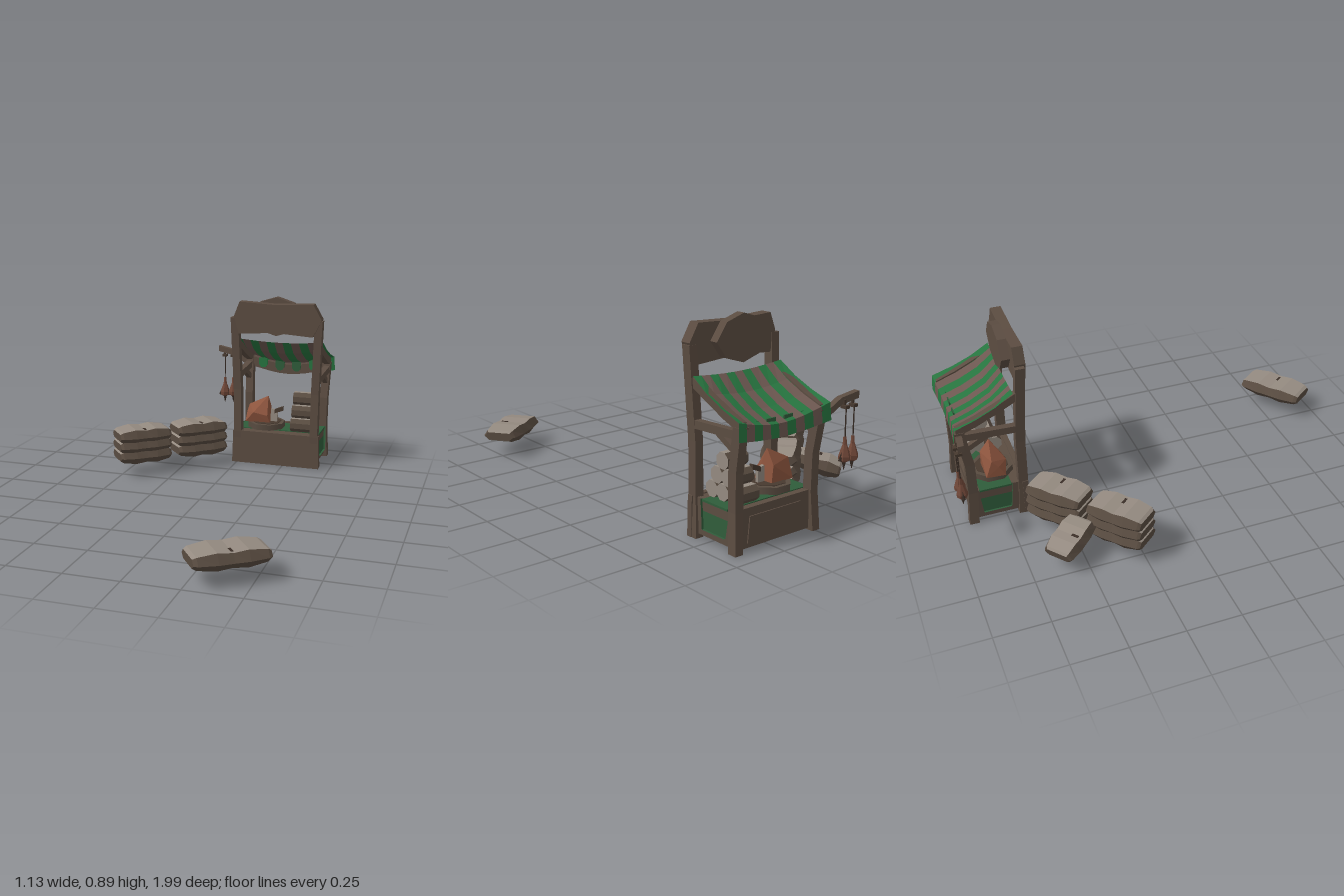
import * as THREE from 'three';
import { ConvexGeometry } from 'three/addons/geometries/ConvexGeometry.js';

const V = (x, y, z) => new THREE.Vector3(x, y, z);
const mat = (name, color, extra = {}) =>
  Object.assign(new THREE.MeshStandardMaterial({ color, ...extra }), { name });
const CX = 0.209; // middle of the stall

// Closed loft through rings; bucket(j) picks a material slot (j = -1 for end caps)
function loft(rings, bucket = () => 0) {
  const lists = [[], []];
  const n = rings[0].length;
  const tri = (slot, ...p) => p.forEach((v) => lists[slot].push(v.x, v.y, v.z));
  for (let i = 0; i + 1 < rings.length; i++) {
    for (let j = 0; j < n; j++) {
      const k = (j + 1) % n, a = rings[i], b = rings[i + 1];
      tri(bucket(j), a[j], a[k], b[k]);
      tri(bucket(j), a[j], b[k], b[j]);
    }
  }
  const s = rings[0], e = rings[rings.length - 1];
  for (let k = 1; k + 1 < n; k++) {
    tri(bucket(-1), s[0], s[k + 1], s[k]);
    tri(bucket(-1), e[0], e[k], e[k + 1]);
  }
  const g = new THREE.BufferGeometry();
  g.setAttribute('position', new THREE.Float32BufferAttribute([...lists[0], ...lists[1]], 3));
  g.addGroup(0, lists[0].length / 3, 0);
  if (lists[1].length) g.addGroup(lists[0].length / 3, lists[1].length / 3, 1);
  g.computeVertexNormals();
  return g;
}

// Bent timber: points along the middle, half-width vectors a and b
function beam(pts, a, b) {
  const dir = pts[pts.length - 1].clone().sub(pts[0]);
  if (a.clone().cross(b).dot(dir) < 0) b = b.clone().negate();
  return loft(pts.map((p) => [[1, -1], [1, 1], [-1, 1], [-1, -1]].map(([s, t]) =>
    p.clone().addScaledVector(a, s).addScaledVector(b, t))));
}

// Flat board from an outline, from z0 forward by depth
function board(outline, z0, depth) {
  const g = new THREE.ExtrudeGeometry(
    new THREE.Shape(outline.map(([x, y]) => new THREE.Vector2(x, y))), { depth, bevelEnabled: false });
  return g.translate(0, 0, z0);
}

// Sack with two lobes and a pinched middle; top and bottom use the second slot
function sackGeometry(L, W, H) {
  const stations = [[-0.5, 0.8, 0.5], [-0.45, 0.9, 0.72], [-0.2, 1, 1], [0, 1, 0.82],
    [0.2, 1, 1], [0.45, 0.9, 0.72], [0.5, 0.8, 0.5]];
  const section = [[0.5, -0.38], [0.5, 0.38], [-0.05, 0.5], [-0.5, 0.36], [-0.5, -0.36], [-0.05, -0.5]];
  return loft(stations.map(([x, w, h]) => section.map(([y, z]) => V(x * L, y * h * H, z * w * W))),
    (j) => (j === 0 || j === 3 ? 1 : 0));
}

export function createModel() {
  const wood = mat('wood', 0x5b4c41);
  const darkWood = mat('dark wood', 0x47392f);
  const green = mat('awning green', 0x27743f, { side: THREE.DoubleSide });
  const mauve = mat('awning brown', 0x6c5750, { side: THREE.DoubleSide });
  const cloth = mat('cloth green', 0x2f5c3a);
  const pale = mat('pale linen', 0x948a80);
  const sackBrown = mat('sack brown', 0x584b40);
  const meat = mat('roast meat', 0x8c543d);
  const bird = mat('bird brown', 0x704738);
  const rope = mat('rope', 0x3a2e27);

  const model = new THREE.Group();
  const stall = new THREE.Group();
  stall.name = 'stall';
  model.add(stall);
  const add = (name, geo, m, parent = stall) => {
    const mesh = new THREE.Mesh(geo, m);
    mesh.name = name;
    parent.add(mesh);
    return mesh;
  };
  const box = (x0, x1, y0, y1, z0, z1) => new THREE.BoxGeometry(x1 - x0, y1 - y0, z1 - z0)
    .translate((x0 + x1) / 2, (y0 + y1) / 2, (z0 + z1) / 2);

  // Counter, open underneath
  add('counterTop', box(-0.005, 0.423, 0.15, 0.17, -0.895, -0.65), wood);
  add('counterFront', board([[-0.025, 0], [0.443, 0], [0.44, 0.175], [-0.02, 0.175]], -0.665, 0.025), wood);
  add('counterBack', board([[0.02, 0.01], [0.398, 0.01], [0.398, 0.175], [0.02, 0.175]], -0.905, 0.02), wood);
  add('backPanel', board([[0.06, 0.03], [0.36, 0.03], [0.35, 0.14], [0.07, 0.14]], -0.91, 0.01), wood);
  add('tableCloth', box(-0.012, 0.43, 0.165, 0.174, -0.865, -0.715), cloth);

  // Posts, rails and drapes, mirrored about the stall middle
  for (const s of [-1, 1]) {
    const x = (d) => CX + s * d;
    add('frontPost', beam([V(x(0.212), 0, -0.67), V(x(0.205), 0.17, -0.66), V(x(0.207), 0.4, -0.658),
      V(x(0.221), 0.785, -0.635)], V(0.02, 0, 0), V(0, 0, 0.022)), wood);
    add('backPost', beam([V(x(0.212), 0, -0.906), V(x(0.205), 0.17, -0.895), V(x(0.207), 0.33, -0.896),
      V(x(0.213), 0.515, -0.926)], V(0.02, 0, 0), V(0, 0, 0.022)), wood);
    add('sideRail', beam([V(x(0.212), 0.472, -0.66), V(x(0.215), 0.485, -0.93)],
      V(0.016, 0, 0), V(0, 0.017, 0)), wood);
    add('awningRail', beam([V(x(0.214), 0.642, -0.66), V(x(0.214), 0.592, -0.76), V(x(0.214), 0.55, -0.85),
      V(x(0.214), 0.516, -0.94)], V(0.016, 0, 0), V(0, 0.02, 0)), wood);
    add('brace', beam([V(x(0.212), 0.47, -0.8), V(x(0.212), 0.41, -0.91)],
      V(0.012, 0, 0), V(0, 0.014, 0)), wood);
    add('sideBoard', box(x(0.208) - 0.008, x(0.208) + 0.008, 0.02, 0.172, -0.89, -0.68), wood);
    const drape = loft([[0.174, 0.08, 0.219], [0.05, 0.065, 0.224]].map(([y, h, d]) =>
      [[-1, 1], [1, 1], [1, -1], [-1, -1]].map(([i, j]) => V(x(d) + i * 0.005, y, -0.79 + j * h))));
    add('sideDrape', drape, cloth);
  }

  // Sign boards
  add('signBoard', board([[-0.012, 0.794], [0.015, 0.704], [0.207, 0.717], [0.403, 0.704], [0.447, 0.794],
    [0.403, 0.87], [0.207, 0.861], [0.017, 0.87]], -0.655, 0.05), wood);
  add('signBacking', board([[0.2, 0.692], [0.29, 0.72], [0.342, 0.79], [0.29, 0.865], [0.2, 0.893],
    [0.11, 0.865], [0.058, 0.79], [0.11, 0.72]], -0.695, 0.04), wood);

  // Striped sagging awning: rows of [z, y, sag]
  const rows = [[-0.675, 0.668, 0.014], [-0.76, 0.615, 0.03], [-0.85, 0.575, 0.04],
    [-0.95, 0.542, 0.045], [-0.956, 0.468, 0.025]];
  const N = 11;
  for (let i = 0; i < N; i++) {
    const pos = [];
    const p = (r, u) => {
      const k = Math.sin(Math.PI * u);
      const half = 0.237 + 0.012 * r / 4;
      return [CX + (2 * u - 1) * half, rows[r][1] - rows[r][2] * k, rows[r][0] + (r > 0 ? 0.016 * k : 0)];
    };
    for (let r = 0; r + 1 < rows.length; r++) {
      const a = p(r, i / N), b = p(r, (i + 1) / N), c = p(r + 1, (i + 1) / N), d = p(r + 1, i / N);
      pos.push(...a, ...b, ...c, ...a, ...c, ...d);
    }
    const g = new THREE.BufferGeometry();
    g.setAttribute('position', new THREE.Float32BufferAttribute(pos, 3));
    g.computeVertexNormals();
    add('awningStripe', g, i % 2 ? mauve : green);
  }

  // Sagging back beam with rounded cloth tabs on its inner side
  const sagPoints = Array.from({ length: 9 }, (_, i) =>
    V(CX + (i / 4 - 1) * 0.2, 0.5 - 0.036 * Math.sin(Math.PI * i / 8), -0.926));
  add('backBeam', beam(sagPoints, V(0, 0.026, 0), V(0, 0, 0.009)), wood);
  for (const [x, low, m] of [[0.07, 0.466, green], [0.163, 0.455, cloth], [0.255, 0.455, cloth], [0.348, 0.466, green]]) {
    const outline = [[x + 0.024, 0.52], [x - 0.024, 0.52], [x - 0.024, low + 0.018], [x - 0.013, low + 0.003],
      [x, low], [x + 0.013, low + 0.003], [x + 0.024, low + 0.018]];
    add('awningTab', board(outline, -0.918, 0.006), m);
  }

  // Hanging arm with two birds
  add('hangingArm', beam([V(0.0, 0.475, -0.93), V(-0.1, 0.535, -0.94), V(-0.192, 0.552, -0.95)],
    V(0, 0.015, 0), V(0, 0, 0.014)), wood);
  for (const [x, y] of [[-0.163, 0], [-0.115, 0.004]]) {
    add('hook', box(x - 0.012, x + 0.012, 0.505, 0.518, -0.975, -0.945), darkWood);
    add('hookStem', box(x - 0.005, x + 0.005, 0.505, 0.54, -0.96, -0.95), darkWood);
    add('rope', new THREE.CylinderGeometry(0.003, 0.003, 0.15, 5).translate(x, 0.44, -0.965), rope);
    const body = [[0.003, 0.272], [0.024, 0.285], [0.026, 0.302], [0.017, 0.33], [0.009, 0.352], [0.007, 0.385]]
      .map(([r, h]) => new THREE.Vector2(r, h));
    const flat = new THREE.LatheGeometry(body, 6).toNonIndexed();
    flat.computeVertexNormals();
    add('birdBody', flat.translate(x, y, -0.965), bird);
    add('birdTail', new THREE.ConeGeometry(0.012, 0.045, 5).rotateX(Math.PI).translate(x, 0.262 + y, -0.965), rope);
    for (const s of [-1, 1]) {
      add('birdWing', new THREE.ConeGeometry(0.009, 0.06, 4).rotateZ(s * 0.3)
        .translate(x + s * 0.017, 0.312 + y, -0.965), rope);
    }
  }

  // Roast on a tray with a cleaver
  add('tray', new THREE.CylinderGeometry(0.1, 0.1, 0.03, 8).rotateY(Math.PI / 8).translate(0.13, 0.189, -0.775), sackBrown);
  add('trayTop', new THREE.CylinderGeometry(0.08, 0.08, 0.005, 8).rotateY(Math.PI / 8).translate(0.13, 0.204, -0.775), darkWood);
  add('roast', new ConvexGeometry([V(0.022, 0.204, -0.73), V(0.157, 0.204, -0.73), V(0.03, 0.204, -0.82),
    V(0.15, 0.204, -0.82), V(0.025, 0.255, -0.76), V(0.07, 0.26, -0.715), V(0.145, 0.245, -0.72),
    V(0.03, 0.288, -0.79), V(0.137, 0.343, -0.775), V(0.142, 0.28, -0.82)]), meat);
  add('cleaverBlade', board([[0.15, 0.204], [0.188, 0.204], [0.19, 0.265], [0.155, 0.275]], -0.78, 0.015), pale);
  add('cleaverHandle', beam([V(0.175, 0.262, -0.772), V(0.22, 0.28, -0.772)],
    V(0, 0.011, 0), V(0, 0, 0.01)), darkWood);

  // Pile of linen rolls
  for (const [z, y] of [[-0.722, 0.21], [-0.785, 0.21], [-0.848, 0.21], [-0.75, 0.275], [-0.815, 0.275], [-0.782, 0.34]]) {
    const ring = (x, r) => Array.from({ length: 8 }, (_, k) => {
      const a = (k - 0.5) * Math.PI / 4;
      return V(x, y + r * Math.cos(a), z + r * Math.sin(a));
    });
    add('linenRoll', loft([ring(0.277, 0.037), ring(0.385, 0.037)],
      (j) => (j === -1 || j === 0 ? 1 : 0)), [sackBrown, pale]);
  }

  // Sacks: two stacks, one leaning and one lying apart
  const sack = (x, y, z, turn, L, W, tilt = 0) => {
    const m = add('sack', sackGeometry(L, W, 0.076), [sackBrown, pale], model);
    m.position.set(x, y, z);
    m.rotation.set(0, turn, tilt);
    const tie = add('sackTie', new THREE.BoxGeometry(0.012, 0.004, 0.035), rope, m);
    tie.position.set(0, 0.031, W * 0.2);
  };
  for (let i = 0; i < 3; i++) {
    sack(-0.417, 0.102 + i * 0.052, -0.326, 0.7, 0.272, 0.178);
    sack(-0.182, 0.102 + i * 0.052, -0.537, 0.73, 0.272, 0.178);
  }
  sack(-0.405, 0.115, -0.558, -0.9, 0.21, 0.165, 0.25);
  sack(0.388, 0.104, 0.844, 0.63, 0.325, 0.19);
  return model;
}
